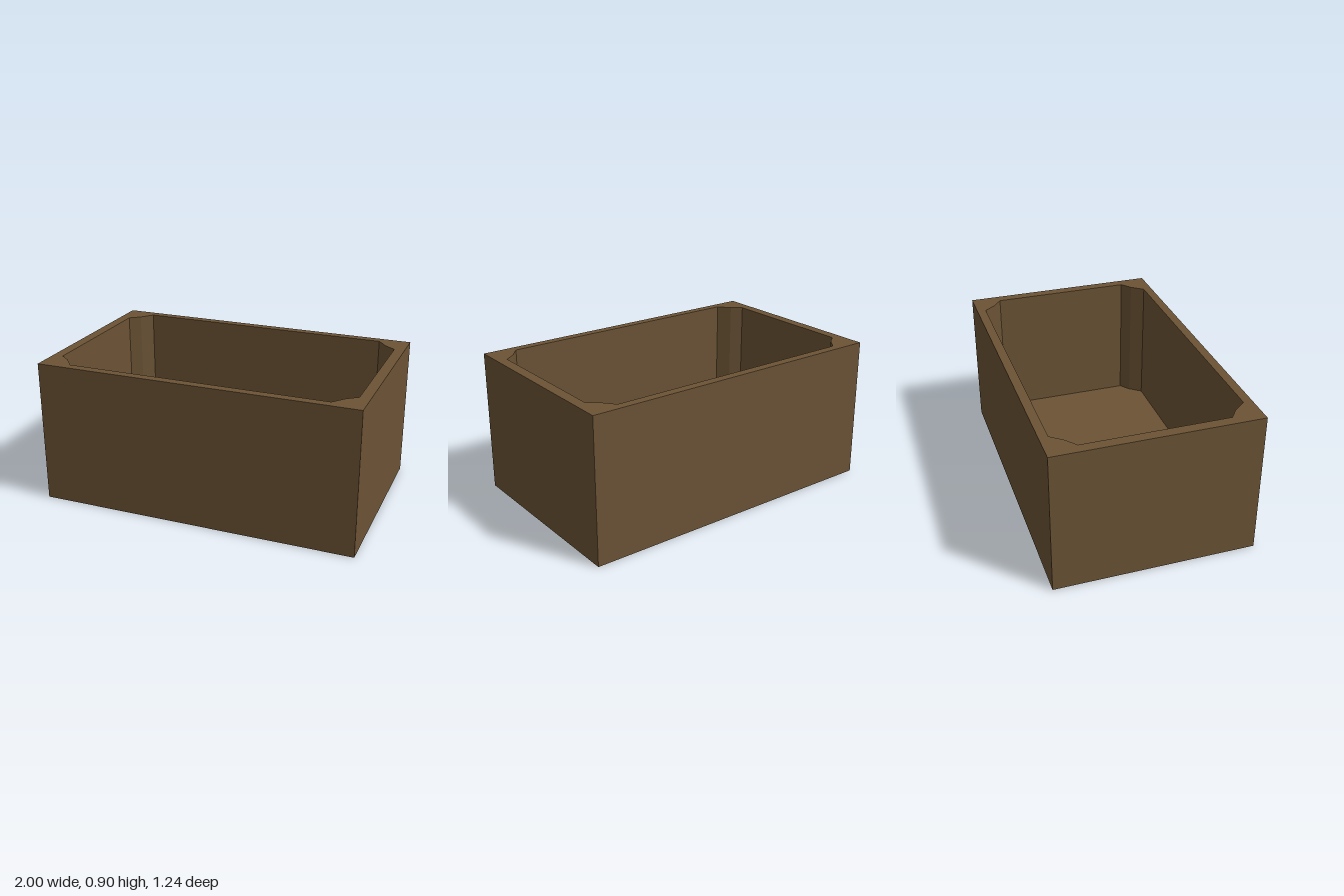
import * as THREE from 'three';

const HALF_X = 1, HALF_Z = 0.62, HEIGHT = 0.9, FLOOR = 0.07;

// Mirrors one quadrant of points into a closed counter-clockwise outline.
function mirrorOutline(quadrant) {
  const reversed = [...quadrant].reverse();
  return [
    ...quadrant,
    ...reversed.map(([x, z]) => [-x, z]),
    ...quadrant.map(([x, z]) => [-x, -z]),
    ...reversed.map(([x, z]) => [x, -z]),
  ].map(([x, z]) => new THREE.Vector2(x, z));
}

// Vertical band around an outline, facing outward, or inward when inside is true.
function band(outline, y0, y1, inside) {
  const positions = [];
  outline.forEach((p, i) => {
    const q = outline[(i + 1) % outline.length];
    const [a, b] = inside ? [q, p] : [p, q];
    positions.push(
      a.x, y0, -a.y, b.x, y0, -b.y, b.x, y1, -b.y,
      a.x, y0, -a.y, b.x, y1, -b.y, a.x, y1, -a.y);
  });
  const geometry = new THREE.BufferGeometry();
  geometry.setAttribute('position', new THREE.Float32BufferAttribute(positions, 3));
  geometry.computeVertexNormals();
  return geometry;
}

// Flat horizontal face at height y, facing up or down.
function sheet(outline, y, up, hole) {
  const shape = new THREE.Shape(outline);
  if (hole) shape.holes.push(new THREE.Path(hole));
  const geometry = new THREE.ShapeGeometry(shape);
  geometry.rotateX(up ? -Math.PI / 2 : Math.PI / 2);
  return geometry.translate(0, y, 0);
}

export function createModel() {
  const group = new THREE.Group();
  group.name = 'openBox';
  const brown = new THREE.MeshStandardMaterial({ color: 0x6b5335 });
  brown.name = 'brown';

  const outer = mirrorOutline([[HALF_X, HALF_Z]]);
  // Cavity with thickened, faceted corner posts
  const cavity = mirrorOutline([[0.935, 0.44], [0.87, 0.49], [0.81, 0.565]]);

  const add = (name, geometry) => {
    const mesh = new THREE.Mesh(geometry, brown);
    mesh.name = name;
    group.add(mesh);
  };
  add('outerWalls', band(outer, 0, HEIGHT, false));
  add('innerWalls', band(cavity, FLOOR, HEIGHT, true));
  add('rim', sheet(outer, HEIGHT, true, cavity));
  add('cavityFloor', sheet(cavity, FLOOR, true));
  add('underside', sheet(outer, 0, false));
  return group;
}
